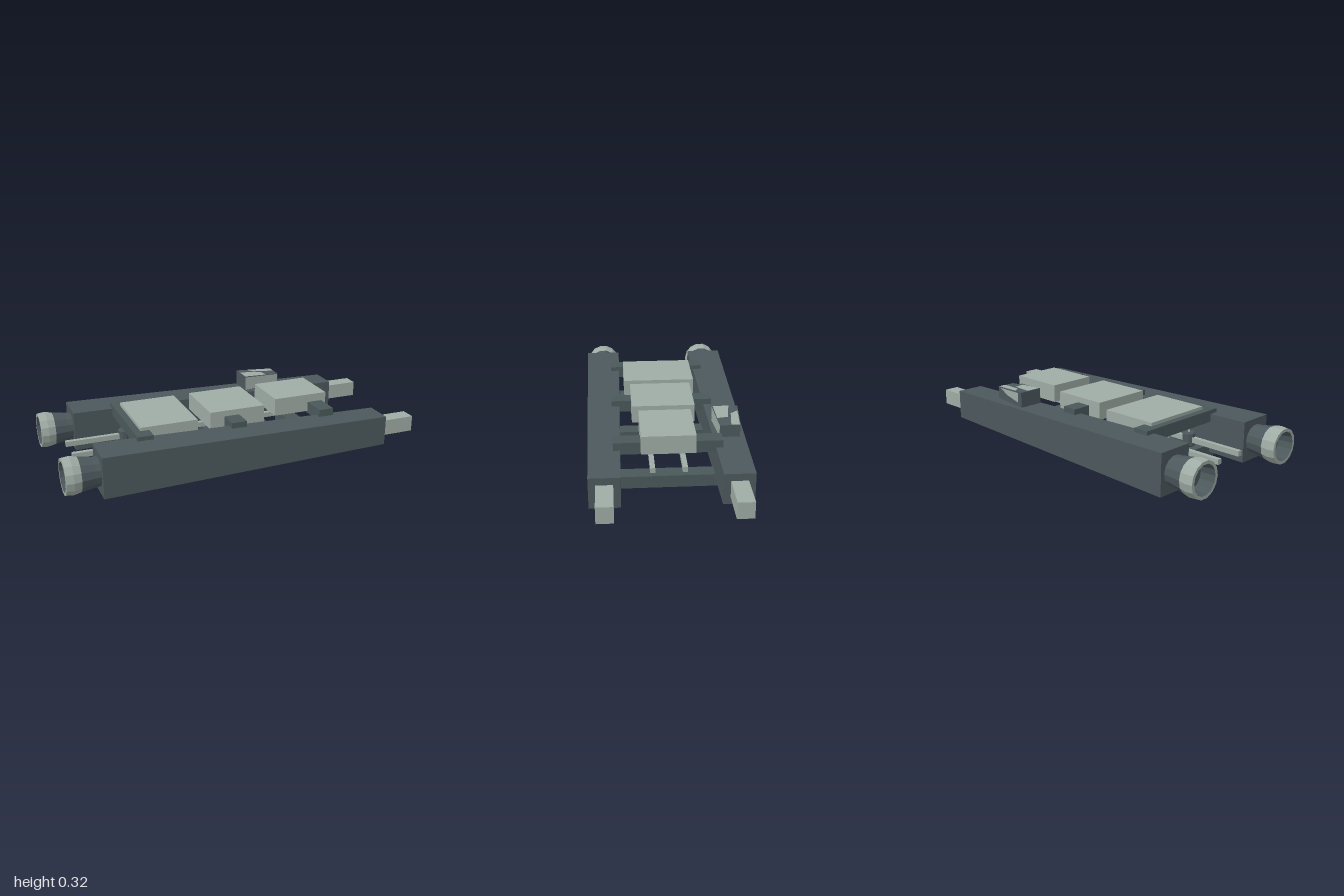
import * as THREE from 'three';

const mat = (name, color) => {
  const m = new THREE.MeshStandardMaterial({ color, flatShading: true, side: THREE.DoubleSide });
  m.name = name;
  return m;
};

export function createModel() {
  const hull = mat('dark hull grey', 0x4c585c);
  const frame = mat('dark frame grey', 0x4a585a);
  const pale = mat('pale grey', 0x9faba5);
  const model = new THREE.Group();

  const add = (name, geometry, material, x, y, z) => {
    const mesh = new THREE.Mesh(geometry, material);
    mesh.name = name;
    mesh.position.set(x, y, z);
    model.add(mesh);
    return mesh;
  };
  const box = (name, material, x0, x1, y0, y1, z0, z1) =>
    add(name, new THREE.BoxGeometry(x1 - x0, y1 - y0, z1 - z0), material, (x0 + x1) / 2, (y0 + y1) / 2, (z0 + z1) / 2);

  // Box whose height and depth shrink towards +x
  const taperedBox = (length, h0, h1, d0, d1) => {
    const g = new THREE.BoxGeometry(length, 1, 1);
    const p = g.attributes.position;
    for (let i = 0; i < p.count; i++) {
      const far = p.getX(i) > 0;
      p.setY(i, p.getY(i) * (far ? h1 : h0));
      p.setZ(i, p.getZ(i) * (far ? d1 : d0));
    }
    g.computeVertexNormals();
    return g;
  };

  // Shell of revolution around x, opening towards -x
  const turned = (points) =>
    new THREE.LatheGeometry(points.map(([r, d]) => new THREE.Vector2(r, d)), 14).rotateZ(Math.PI / 2);

  for (const side of [-1, 1]) {
    const z = side * 0.326;
    // Side rails with a square bar at the tip
    add('sideRail', taperedBox(1.62, 0.222, 0.165, 0.2, 0.157), hull, -0.01, 0.136, z);
    box('tipBar', pale, 0.78, 1, 0.092, 0.18, z - 0.043, z + 0.043);

    // Hollow thruster nozzle
    add('nozzleNeck', turned([[0.077, -0.01], [0.08, 0.03], [0.091, 0.1]]), hull, -0.82, 0.136, z);
    add('nozzleRim', turned([[0.091, 0.1], [0.1, 0.14], [0.096, 0.18], [0.079, 0.18]]), pale, -0.82, 0.136, z);
    add('nozzleInside', turned([[0.079, 0.18], [0.07, 0.1], [0, 0.1]]), hull, -0.82, 0.136, z);

    // Conduit rod with valve housings
    const rz = side * 0.083;
    box('conduitRod', pale, -0.9, 0.59, 0.121, 0.149, rz - 0.013, rz + 0.013);
    for (const x of [-0.572, 0.175]) {
      const profile = [[0, -0.038], [0.03, -0.038], [0.035, -0.032], [0.035, 0.032], [0.03, 0.038], [0, 0.038]];
      add('valveHousing', new THREE.LatheGeometry(profile.map(([r, y]) => new THREE.Vector2(r, y)), 10), hull, x, 0.135, rz);
      add('valvePin', new THREE.CylinderGeometry(0.003, 0.007, 0.016, 8), pale, x, 0.18, rz);
    }
  }

  // Cross beams above and below
  for (const x of [-0.555, -0.035, 0.488]) {
    box('upperCrossBeam', frame, x - 0.043, x + 0.043, 0.2, 0.265, -0.28, 0.28);
    box('lowerCrossBeam', frame, x - 0.043, x + 0.043, 0.003, 0.07, -0.28, 0.28);
  }

  // Deck blocks, each narrower and higher than the last
  [[-0.56, 0.187, 0.283, 0.204], [-0.16, 0.2, 0.297, 0.172], [0.24, 0.211, 0.31, 0.14]].forEach(([x, y0, y1, w]) =>
    box('deckBlock', pale, x, x + 0.317, y0, y1, -w, w));

  // Sensor pod with patchy pale plating
  const pod = new THREE.Group();
  pod.name = 'sensorPod';
  pod.position.set(0.34, 0.276, -0.325);
  model.add(pod);
  const body = new THREE.Mesh(taperedBox(0.22, 0.086, 0.066, 0.137, 0.105), hull);
  body.name = 'podBody';
  pod.add(body);

  const plate = (name, corners) => {
    const g = new THREE.BufferGeometry();
    g.setAttribute('position', new THREE.Float32BufferAttribute(corners.flat(), 3));
    g.setIndex([0, 1, 2, 0, 2, 3]);
    g.computeVertexNormals();
    const mesh = new THREE.Mesh(g, pale);
    mesh.name = name;
    pod.add(mesh);
  };
  // Points on the sloping pod surfaces
  const top = (x, z) => [x, 0.0395 - x * 0.0455, z];
  const flank = (side, x, y) => [x, y, side * (0.062 - x * 0.073)];
  plate('podTopPlateFront', [top(-0.109, 0.065), top(0.03, 0.058), top(0.02, 0.0), top(-0.109, -0.02)]);
  plate('podTopPlateRear', [top(-0.02, -0.02), top(0.108, -0.005), top(0.108, -0.05), top(-0.05, -0.06)]);
  plate('podInnerPlate', [flank(1, -0.109, -0.04), flank(1, 0.108, -0.031), flank(1, 0.108, 0.031), flank(1, -0.109, 0.04)]);
  plate('podOuterPlate', [flank(-1, -0.08, -0.02), flank(-1, -0.08, 0.036), flank(-1, 0.09, 0.03), flank(-1, 0.02, 0)]);

  return model;
}
